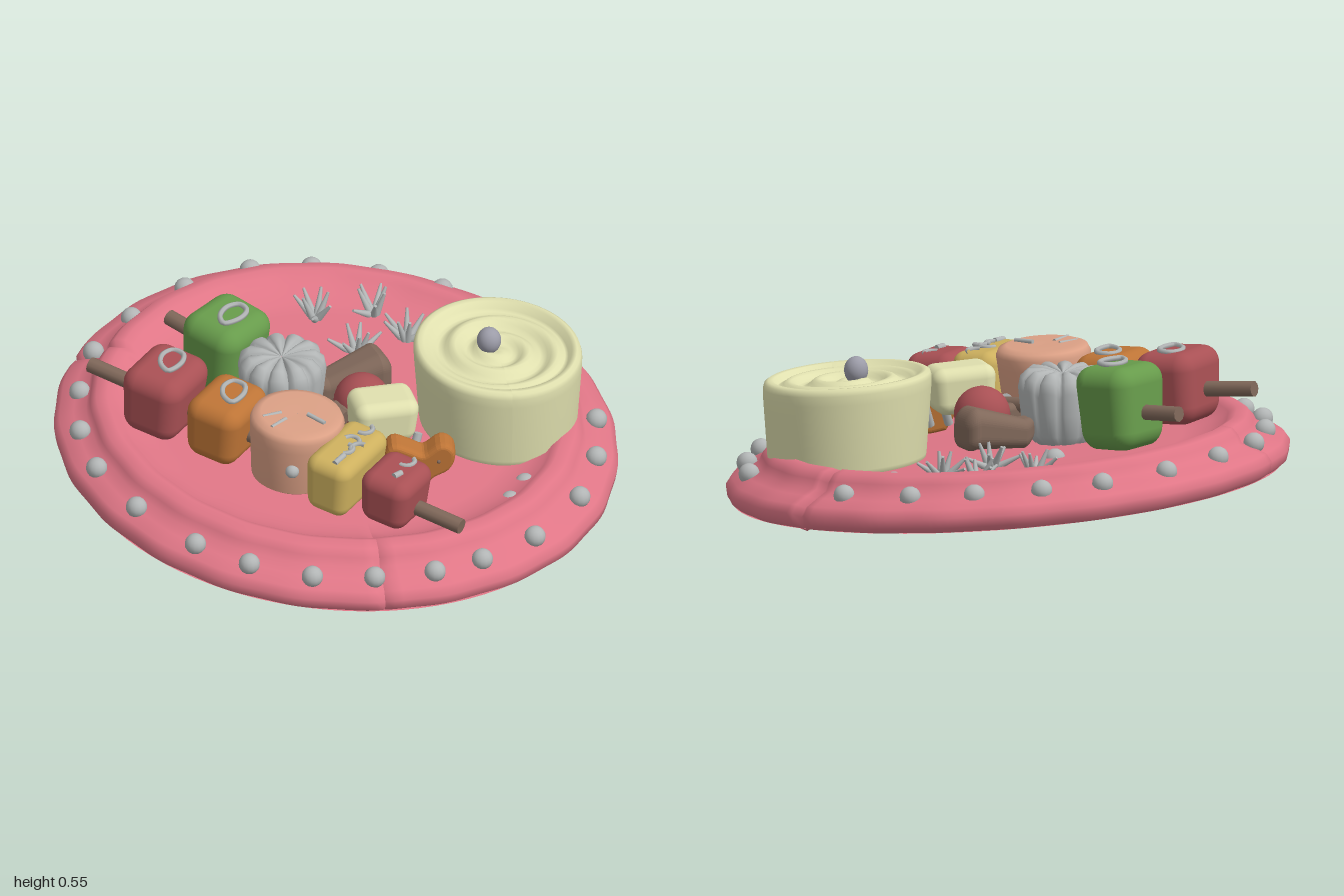
import * as THREE from 'three';
import { RoundedBoxGeometry } from 'three/addons/geometries/RoundedBoxGeometry.js';

const material = (name, color, side = THREE.FrontSide) => {
  const m = new THREE.MeshStandardMaterial({ color, side });
  m.name = name;
  return m;
};

// The whole dish leans down to its left and front
const tilt = (x, z) => -0.07 * x - 0.045 * z;
const FLOOR = 0.21;

// Move every vertex by a rule
function warp(geo, rule) {
  const p = geo.attributes.position, v = new THREE.Vector3();
  for (let i = 0; i < p.count; i++) {
    rule(v.fromBufferAttribute(p, i));
    p.setXYZ(i, v.x, v.y, v.z);
  }
  geo.computeVertexNormals();
  return geo;
}

const lathe = (pts, seg) => new THREE.LatheGeometry(pts.map(([x, y]) => new THREE.Vector2(x, y)), seg);

export function createModel() {
  const pink = material('pink', 0xdf7686, THREE.DoubleSide);
  const cream = material('cream', 0xdfdfae);
  const red = material('red', 0xa85054);
  const orange = material('orange', 0xbd7436);
  const salmon = material('salmon', 0xdba085);
  const yellow = material('yellow', 0xcdb05e);
  const green = material('green', 0x679b4b);
  const brown = material('brown', 0x80685a);
  const grey = material('grey', 0xb2b5b5);
  const pearlGrey = material('pearl grey', 0x9c9ca8);

  const model = new THREE.Group();
  const add = (name, geo, mat, x = 0, y = 0, z = 0, parent = model) => {
    const m = new THREE.Mesh(geo, mat);
    m.name = name;
    m.position.set(x, y, z);
    parent.add(m);
    return m;
  };
  const rod = (name, mat, a, b, r0, r1 = r0) => {
    const from = new THREE.Vector3(...a), to = new THREE.Vector3(...b);
    const dir = to.clone().sub(from);
    const m = add(name, new THREE.CylinderGeometry(r1, r0, dir.length(), 10), mat);
    m.position.copy(from).addScaledVector(dir, 0.5);
    m.quaternion.setFromUnitVectors(new THREE.Vector3(0, 1, 0), dir.normalize());
    return m;
  };

  // Plate: stepped rim, shallow well, three joints and a slightly wavy edge
  const plateGeo = lathe([[0.97, 0.08], [0.995, 0.1], [1, 0.135], [0.98, 0.165], [0.93, 0.187], [0.885, 0.205],
    [0.872, 0.235], [0.85, 0.26], [0.81, 0.268], [0.78, 0.255], [0.76, 0.232], [0.72, 0.222], [0.68, 0.206],
    [0.62, 0.202], [0.3, 0.208], [0.001, FLOOR]], 192);
  add('plate', warp(plateGeo, v => {
    const a = Math.atan2(v.x, v.z), r = Math.hypot(v.x, v.z);
    const joint = Math.abs(Math.sin(a * 1.5)) < 0.01 && r > 0.7;
    const s = 1 - 0.006 * (1 + Math.sin(a * 9 + 1) * Math.sin(a * 14)) * r - (joint ? 0.018 : 0);
    v.x *= s;
    v.z *= s;
    v.y += tilt(v.x, v.z) - (joint ? 0.012 : 0);
  }), pink);

  // Underside with two narrow gaps
  const disc = new THREE.Shape().absarc(0, 0, 0.97, 0, Math.PI * 2, false);
  for (const gap of [[[0, 0], [0.81, -0.31], [0.01, -0.17]], [[-0.57, 0.45], [-0.65, 0.68], [-0.72, 0.61]]])
    disc.holes.push(new THREE.Path(gap.map(([x, y]) => new THREE.Vector2(x, y))));
  add('plateUnderside', warp(new THREE.ShapeGeometry(disc, 48).rotateX(Math.PI / 2),
    v => { v.y = 0.08 + tilt(v.x, v.z); }), pink);

  // Beads around the rim and a few in the well
  const beadGeo = new THREE.SphereGeometry(0.038, 14, 10);
  const beads = [[-0.15, -0.9], [0.07, -0.9], [0.3, -0.84], [0.51, -0.74], [0.71, -0.56], [-0.4, -0.81],
    [-0.62, -0.65], [-0.79, -0.46], [-0.88, -0.23], [-0.92, 0], [-0.9, 0.22], [-0.8, 0.46], [-0.63, 0.69],
    [-0.46, 0.82], [-0.25, 0.91], [-0.03, 0.93], [0.19, 0.91], [0.37, 0.85], [0.58, 0.73], [0.78, 0.51],
    [0.88, 0.28], [0.92, 0.06], [0.5, -0.42], [-0.1, -0.33], [0.6, 0.42], [0.53, 0.52]];
  for (const [x, z] of beads) add('bead', beadGeo, grey, x, 0.198 + tilt(x, z), z);

  // Dip bowl with a swirled top and a pearl in the middle
  const cx = 0.57, cz = 0.04;
  const side = [[0.001, 0.19], [0.275, 0.19], [0.28, 0.22], [0.297, 0.46], [0.298, 0.495], [0.293, 0.512], [0.28, 0.52], [0.262, 0.518]];
  for (let r = 0.25; r > 0; r -= 0.0125) side.push([Math.max(r, 0.001), 0.497]);
  side.push([0.001, 0.497]);
  add('dipBowl', warp(lathe(side, 64), v => {
    const r = Math.hypot(v.x, v.z);
    if (v.y > 0.49 && r < 0.255)
      v.y += 0.014 * Math.sin(r * 62 + Math.atan2(v.x, v.z)) * Math.min(1, r * 14) * Math.min(1, (0.27 - r) * 20);
    v.y += tilt(v.x + cx, v.z + cz);
  }), cream, cx, 0, cz);
  add('pearl', new THREE.SphereGeometry(0.043, 20, 14), pearlGrey, 0.54, 0.495, 0.03).scale.y = 1.15;

  // Rounded food chunk, a little narrower at the bottom
  const chunk = (name, mat, [x, y, z], [w, h, d], turn, lean = -0.08) => {
    const geo = new RoundedBoxGeometry(w, h, d, 5, Math.min(w, h, d) * 0.27);
    const p = geo.attributes.position;
    for (let i = 0; i < p.count; i++) {
      const k = 0.95 + 0.12 * p.getY(i) / h;
      p.setX(i, p.getX(i) * k);
      p.setZ(i, p.getZ(i) * k);
    }
    const m = add(name, geo, mat, x, y, z);
    m.rotation.set(0, turn, lean, 'YXZ');
    return m;
  };
  // Drop-shaped ring lying on a chunk
  const drop = new THREE.CatmullRomCurve3([[0, -0.065], [0.04, -0.045], [0.045, 0.01], [0.01, 0.065], [-0.025, 0.03], [-0.03, -0.03]]
    .map(([x, z]) => new THREE.Vector3(x, 0, z)), true);
  const ringGeo = new THREE.TubeGeometry(drop, 32, 0.01, 6, true);
  const ring = (x, y, z, turn) => { add('onionRing', ringGeo, grey, x, y, z).rotation.y = turn; };
  const curlGeo = new THREE.TorusGeometry(0.03, 0.009, 6, 12, Math.PI * 0.9).rotateX(Math.PI / 2);
  const curl = (x, y, z, turn) => { add('onionCurl', curlGeo, grey, x, y, z).rotation.y = turn; };

  // Front skewer
  rod('frontSkewerStick', brown, [-0.85, 0.41, -0.19], [0.3, 0.26, 0.82], 0.028);
  const t1 = -0.72;
  chunk('redChunk', red, [-0.62, 0.395, 0.01], [0.24, 0.26, 0.28], t1);
  chunk('orangeChunk', orange, [-0.43, 0.37, 0.18], [0.22, 0.24, 0.27], t1);
  const slice = add('salmonChunk', lathe([[0.001, -0.13], [0.13, -0.13], [0.15, -0.115], [0.165, 0.06], [0.168, 0.1],
    [0.158, 0.122], [0.13, 0.132], [0.001, 0.128]], 36), salmon, -0.21, 0.36, 0.35);
  slice.rotation.z = -0.06;
  chunk('yellowChunk', yellow, [-0.06, 0.34, 0.515], [0.18, 0.23, 0.32], t1);
  chunk('smallRedChunk', red, [0.095, 0.318, 0.645], [0.2, 0.205, 0.23], t1);
  ring(-0.6, 0.527, 0.0, -0.4);
  ring(-0.41, 0.492, 0.18, -0.3);
  for (const [x, z, a] of [[0.02, 0.44, 0.4], [-0.04, 0.51, 2.2], [-0.07, 0.55, 0.9], [-0.02, 0.56, 3.4]]) curl(x, 0.456, z, a);
  rod('onionStrip', grey, [-0.12, 0.452, 0.63], [-0.08, 0.455, 0.59], 0.011);
  curl(0.14, 0.418, 0.61, 0.3);
  rod('onionStrip', grey, [0.08, 0.42, 0.7], [0.11, 0.418, 0.68], 0.012);
  for (const [x, z, dx, dz] of [[-0.33, 0.36, 0.07, -0.02], [-0.31, 0.43, 0.06, -0.05], [-0.17, 0.37, 0.05, 0.06]])
    rod('onionStrip', grey, [x, 0.494, z], [x + dx, 0.49, z + dz], 0.008);
  add('looseBead', new THREE.SphereGeometry(0.025, 12, 8), grey, -0.25, 0.35, 0.505);

  // Back skewer
  rod('backSkewerStick', brown, [-0.52, 0.39, -0.46], [0.0, 0.32, 0.17], 0.028);
  chunk('greenChunk', green, [-0.355, 0.385, -0.25], [0.25, 0.3, 0.27], -0.88);
  ring(-0.34, 0.54, -0.23, -0.7);
  const puff = [[0.001, 0.22], [0.1, 0.22], [0.14, 0.26], [0.15, 0.34], [0.158, 0.42], [0.15, 0.46], [0.12, 0.485], [0.07, 0.485], [0.03, 0.475], [0.001, 0.465]];
  add('pleatedChunk', warp(lathe(puff, 88), v => {
    const a = Math.atan2(v.x, v.z), pleat = Math.abs(Math.sin(a * 5.5)), r = Math.hypot(v.x, v.z);
    const s = 0.9 + 0.1 * Math.sqrt(pleat);
    if (v.y > 0.4) v.y -= 0.022 * (1 - Math.sqrt(pleat)) * Math.min(1, r * 15);
    v.x *= s;
    v.z *= s;
  }), grey, -0.19, 0, -0.04);
  chunk('brownBit', brown, [-0.05, 0.29, 0.12], [0.13, 0.1, 0.09], 0.4);
  rod('onionStrip', grey, [-0.1, 0.26, 0.28], [-0.03, 0.33, 0.18], 0.025);

  // Loose food in the middle
  const meat = new RoundedBoxGeometry(0.29, 0.14, 0.15, 6, 0.05);
  add('meatPiece', warp(meat, v => {
    const k = 0.9 + 1.6 * v.x;
    v.y = v.y * k + 0.02 * Math.sin(v.x * 22);
    v.z = v.z * k + 0.012 * Math.sin(v.x * 30 + 1);
  }), brown, 0.07, 0.29, -0.115).rotation.y = 0.25;
  add('redBall', new THREE.SphereGeometry(0.1, 24, 16), red, 0.08, 0.31, 0.055);
  chunk('creamCube', cream, [0.12, 0.37, 0.24], [0.24, 0.17, 0.18], 0.1, -0.05);
  for (const [x, z] of [[0.06, 0.33], [0.14, 0.335], [0.21, 0.32]])
    rod('onionStrip', grey, [x, 0.22, z], [x + 0.03, 0.31, z - 0.03], 0.016);

  // Crisp orange piece with dark specks
  const crisp = new THREE.Group();
  crisp.name = 'crispPiece';
  crisp.position.set(0.22, 0.285, 0.4);
  crisp.rotation.y = -0.12;
  model.add(crisp);
  const outline = new THREE.Shape();
  outline.moveTo(-0.07, -0.08);
  outline.splineThru([[-0.11, 0.0], [-0.09, 0.06], [-0.04, 0.045], [0.02, 0.02], [0.08, 0.06], [0.115, 0.035],
    [0.1, -0.02], [0.05, -0.05], [0.0, -0.09], [-0.07, -0.08]].map(p => new THREE.Vector2(...p)));
  add('crispBody', new THREE.ExtrudeGeometry(outline, { depth: 0.05, bevelThickness: 0.025, bevelSize: 0.015, bevelSegments: 4, curveSegments: 4 })
    .translate(0, 0, -0.025), orange, 0, 0, 0, crisp);
  for (const [x, y] of [[-0.08, 0.02], [-0.05, -0.04], [0.0, -0.02], [0.03, -0.05], [0.07, 0.01], [-0.03, 0.01]])
    add('speck', new THREE.SphereGeometry(0.007, 8, 6), brown, x, y, 0.05, crisp);

  // Tufts of pointed leaves
  for (const [x, z, turn] of [[0.03, -0.6, 0], [0.24, -0.61, 0.7], [0.14, -0.38, 1.5], [0.33, -0.45, 2.3]]) {
    const y = FLOOR - 0.01 + tilt(x, z);
    for (let i = 0; i < 7; i++) {
      const a = turn + i * 0.9, reach = 0.05 + 0.025 * (i % 3);
      rod('leafBlade', grey, [x + 0.01 * Math.cos(a), y, z + 0.01 * Math.sin(a)],
        [x + reach * Math.cos(a), y + 0.09 - 0.02 * (i % 3), z - 0.02 + reach * Math.sin(a)], 0.015, 0.005);
    }
  }
  return model;
}
